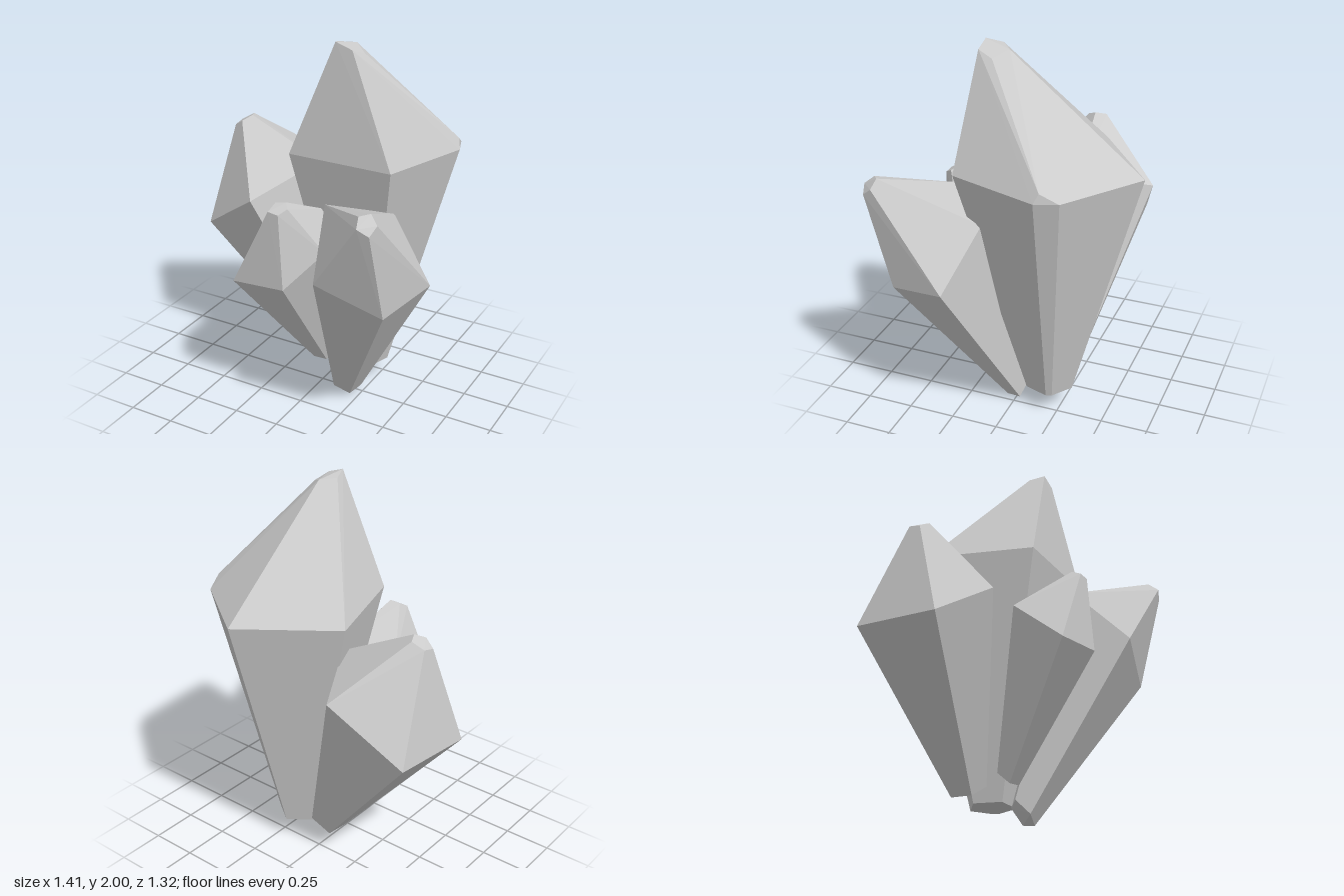
import * as THREE from 'three';
import { ConvexGeometry } from 'three/addons/geometries/ConvexGeometry.js';

const BASE_SCALE = 0.264; // root section relative to the widest section

// Each crystal: root centre, widest ring and blunt tip ring, as [x, y, z]
const crystals = [
  {
    name: 'mainCrystal',
    root: [0.2, 0.12, -0.188],
    girdle: [[0.2, 1.41, -0.66], [0.6, 1.41, -0.375], [0.64, 1.41, -0.26],
      [0.485, 1.41, 0.21], [-0.075, 1.41, 0.21], [-0.25, 1.41, -0.33]],
    tip: [[0.16, 2, 0.165], [0.25, 1.97, 0.165], [0.275, 1.94, 0.085],
      [0.2, 1.97, 0.025], [0.13, 1.98, 0.085], [0.625, 1.46, -0.285]], // last: nicked corner
  },
  {
    name: 'leftCrystal',
    root: [-0.02, 0.163, -0.2],
    girdle: [[-0.685, 0.85, -0.445], [-0.325, 1.14, -0.565], [-0.13, 1.22, -0.2],
      [-0.365, 1.06, 0.135], [-0.71, 0.82, 0.02]],
    tip: [[-0.62, 1.375, -0.205], [-0.56, 1.41, -0.225], [-0.535, 1.42, -0.17],
      [-0.57, 1.395, -0.12], [-0.625, 1.36, -0.14]],
  },
  {
    name: 'rightCrystal',
    root: [0.158, 0.053, 0.011],
    girdle: [[0.275, 0.94, 0.585], [0.605, 0.8, 0.5], [0.705, 0.865, 0.19],
      [0.45, 1.15, 0.08], [0.185, 1.23, 0.31]],
    tip: [[0.525, 1.36, 0.61], [0.57, 1.37, 0.575], [0.61, 1.325, 0.59],
      [0.595, 1.285, 0.64], [0.54, 1.32, 0.66]],
  },
  {
    name: 'smallFrontCrystal',
    root: [0.03, 0.205, 0],
    girdle: [[-0.265, 0.765, 0.46], [0.045, 0.8, 0.485], [0.19, 0.97, 0.32],
      [0.08, 1.1, 0.1], [-0.195, 1.03, 0.155]],
    tip: [[-0.035, 1.23, 0.41], [0.02, 1.24, 0.4], [0.045, 1.22, 0.43],
      [0.015, 1.195, 0.47], [-0.045, 1.2, 0.465]],
  },
];

const toVectors = (ring) => ring.map((p) => new THREE.Vector3(...p));

// Faceted solid spanning root, widest ring and tip
function crystalGeometry({ root, girdle, tip }) {
  const ring = toVectors(girdle);
  const centre = new THREE.Vector3();
  ring.forEach((p) => centre.addScaledVector(p, 1 / ring.length));

  // The root repeats the widest ring at a smaller size
  const rootCentre = new THREE.Vector3(...root);
  const rootRing = ring.map((p) =>
    p.clone().sub(centre).multiplyScalar(BASE_SCALE).add(rootCentre));

  return new ConvexGeometry([...rootRing, ...ring, ...toVectors(tip)]);
}

export function createModel() {
  const group = new THREE.Group();
  group.name = 'crystalCluster';
  const material = new THREE.MeshStandardMaterial({ color: 0xcccccc, flatShading: true });

  for (const crystal of crystals) {
    const mesh = new THREE.Mesh(crystalGeometry(crystal), material);
    mesh.name = crystal.name;
    group.add(mesh);
  }
  return group;
}
